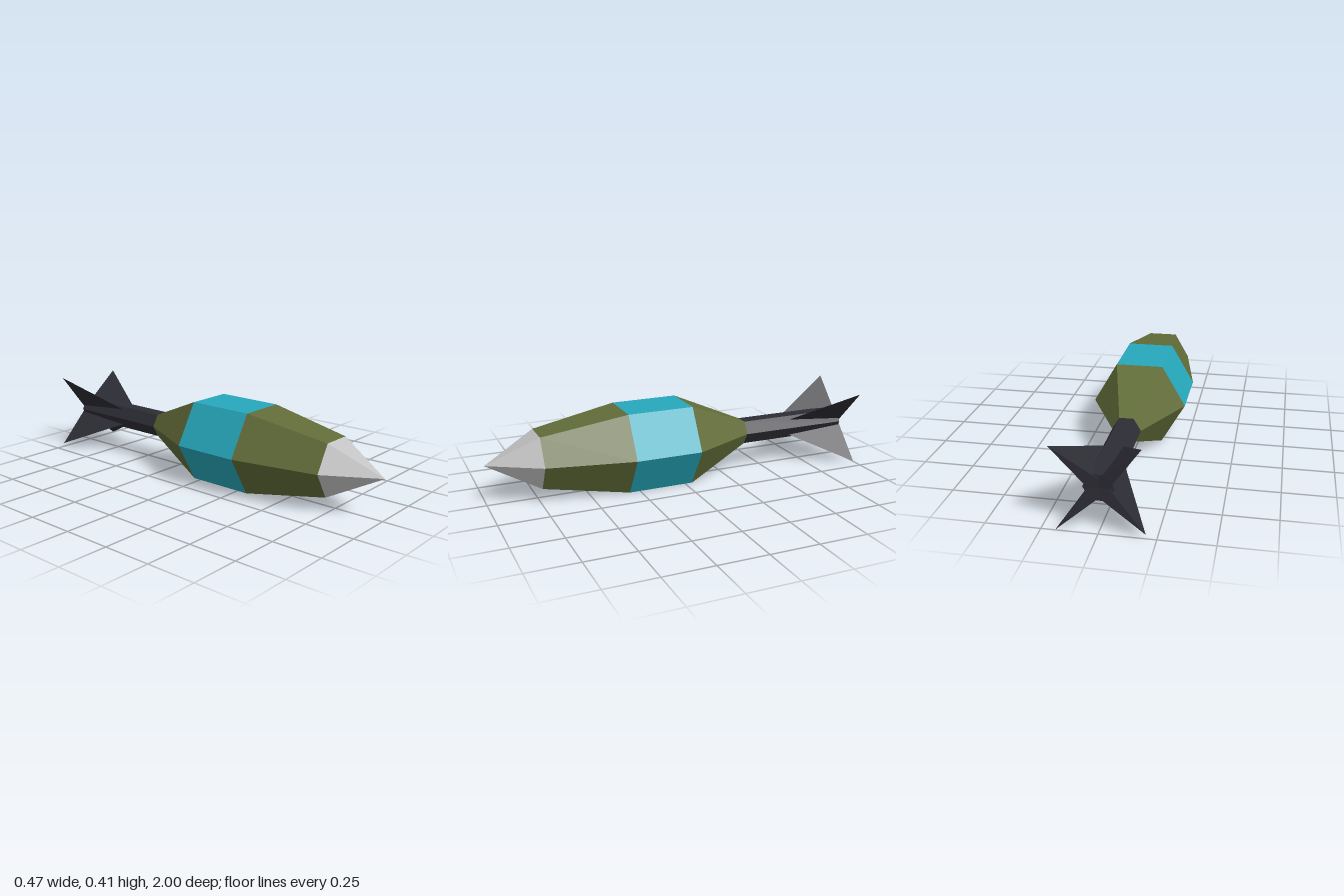
import * as THREE from 'three';

const flat = (name, color) => {
  const m = new THREE.MeshStandardMaterial({ color });
  m.name = name;
  return m;
};

export function createModel() {
  const group = new THREE.Group();
  const axisY = 0.205;
  const olive = flat('olive', 0x626d39);
  const teal = flat('teal', 0x26a8bc);
  const grey = flat('grey', 0xc2c2c2);
  const dark = flat('charcoal', 0x2d2d35);

  // Six-sided body section running from zFront to zBack
  const section = (name, material, zFront, rFront, zBack, rBack, open = true) => {
    const geo = new THREE.CylinderGeometry(rFront, rBack, zFront - zBack, 6, 1, open, Math.PI / 6)
      .rotateX(Math.PI / 2).toNonIndexed();
    geo.computeVertexNormals();
    const mesh = new THREE.Mesh(geo, material);
    mesh.name = name;
    mesh.position.set(0, axisY, (zFront + zBack) / 2);
    group.add(mesh);
  };
  section('noseCone', grey, 1, 0, 0.74, 0.152);
  section('frontBody', olive, 0.74, 0.152, 0.305, 0.237);
  section('middleBand', teal, 0.305, 0.237, -0.04, 0.237);
  section('rearBody', olive, -0.04, 0.237, -0.385, 0.07);
  section('tailTube', dark, -0.385, 0.07, -0.972, 0.07, false);

  // Fin: a wedge rooted on the axis, tapering to a swept-back point
  const lead = [0, 0, -0.56], left = [0, 0.036, -0.975], right = [0, -0.036, -0.975], tip = [0.276, 0, -1];
  const finGeo = new THREE.BufferGeometry();
  finGeo.setAttribute('position', new THREE.Float32BufferAttribute([
    lead, tip, left,
    lead, right, tip,
    left, tip, right,
    lead, left, right,
  ].flat(), 3));
  finGeo.computeVertexNormals();
  for (let i = 0; i < 4; i++) {
    const fin = new THREE.Mesh(finGeo, dark);
    fin.name = 'tailFin' + (i + 1);
    fin.position.y = axisY;
    fin.rotation.z = THREE.MathUtils.degToRad(42.4 + i * 90);
    group.add(fin);
  }
  return group;
}
